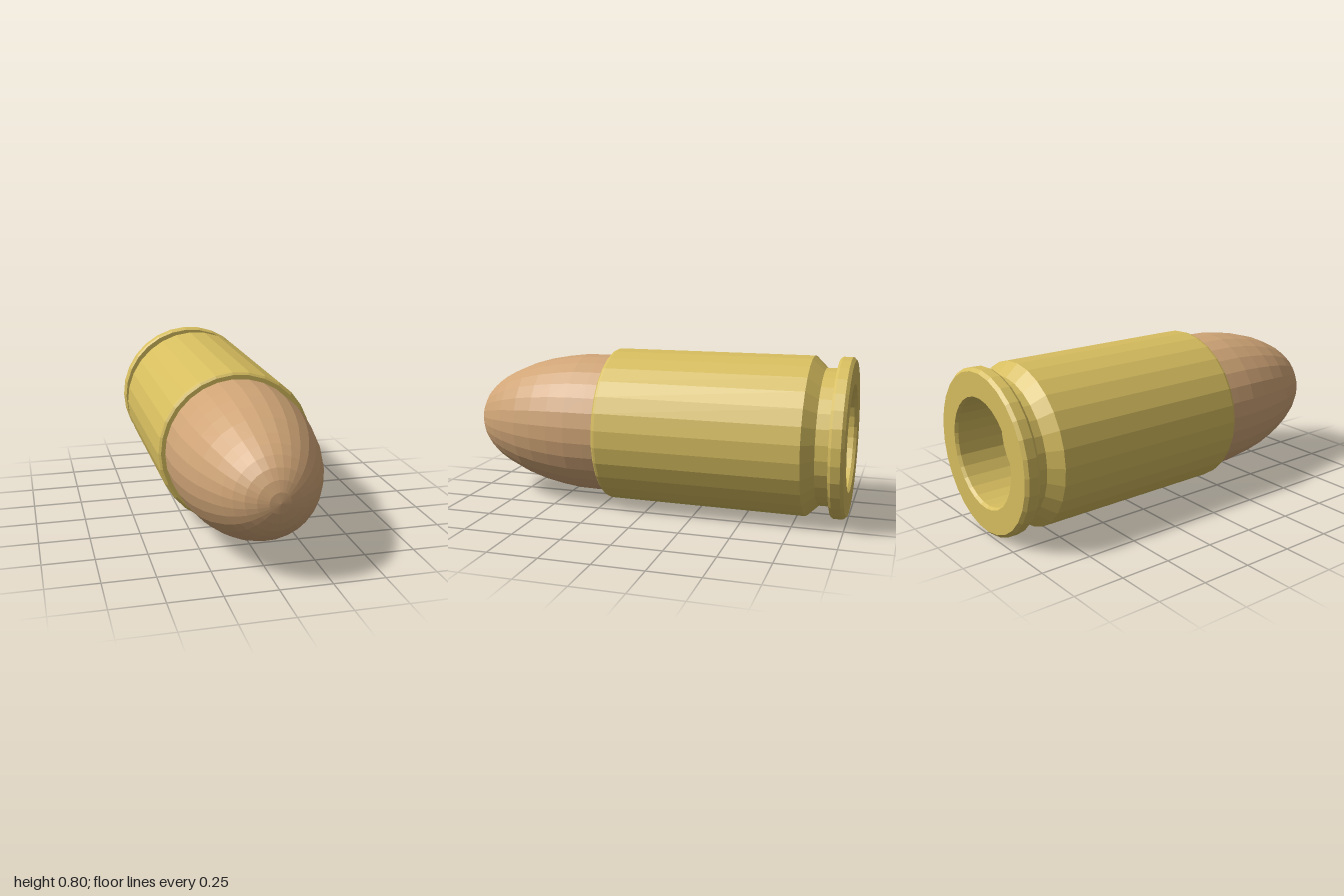
import * as THREE from 'three';

const SIDES = 29;
const CENTRE_Y = 0.403;

// Turns a [radius, z] profile about the long axis; the solid lies left of the path.
function turned(name, profile, color) {
  const points = profile.map(([r, z]) => new THREE.Vector2(r, z));
  const geometry = new THREE.LatheGeometry(points, SIDES, Math.PI + 0.049);
  geometry.rotateX(Math.PI / 2);
  geometry.translate(0, CENTRE_Y, 0);
  const material = new THREE.MeshStandardMaterial({ color, flatShading: true });
  const mesh = new THREE.Mesh(geometry, material);
  mesh.name = name;
  return mesh;
}

export function createModel() {
  const group = new THREE.Group();
  group.name = 'cartridge';

  group.add(turned('case', [
    // primer pocket with a smaller recess in its floor
    [0, -0.67], [0.115, -0.67], [0.115, -0.75],
    [0.26, -0.75], [0.26, -0.985], [0.27, -1],
    // rim
    [0.388, -1], [0.403, -0.985], [0.403, -0.94], [0.395, -0.927],
    // extractor groove and its bevel
    [0.345, -0.927], [0.345, -0.86], [0.403, -0.8],
    // tapered wall and rounded mouth
    [0.398, 0.215], [0.394, 0.228], [0.383, 0.237], [0.362, 0.237], [0.357, 0.2],
  ], 0xd6bd5f));

  group.add(turned('bullet', [
    [0, 0.15], [0.362, 0.15], [0.362, 0.3], [0.36, 0.4], [0.347, 0.5],
    [0.328, 0.6], [0.299, 0.7], [0.256, 0.8], [0.226, 0.855], [0.19, 0.905],
    [0.147, 0.947], [0.1, 0.976], [0.05, 0.994], [0, 1],
  ], 0xd0a577));

  return group;
}
